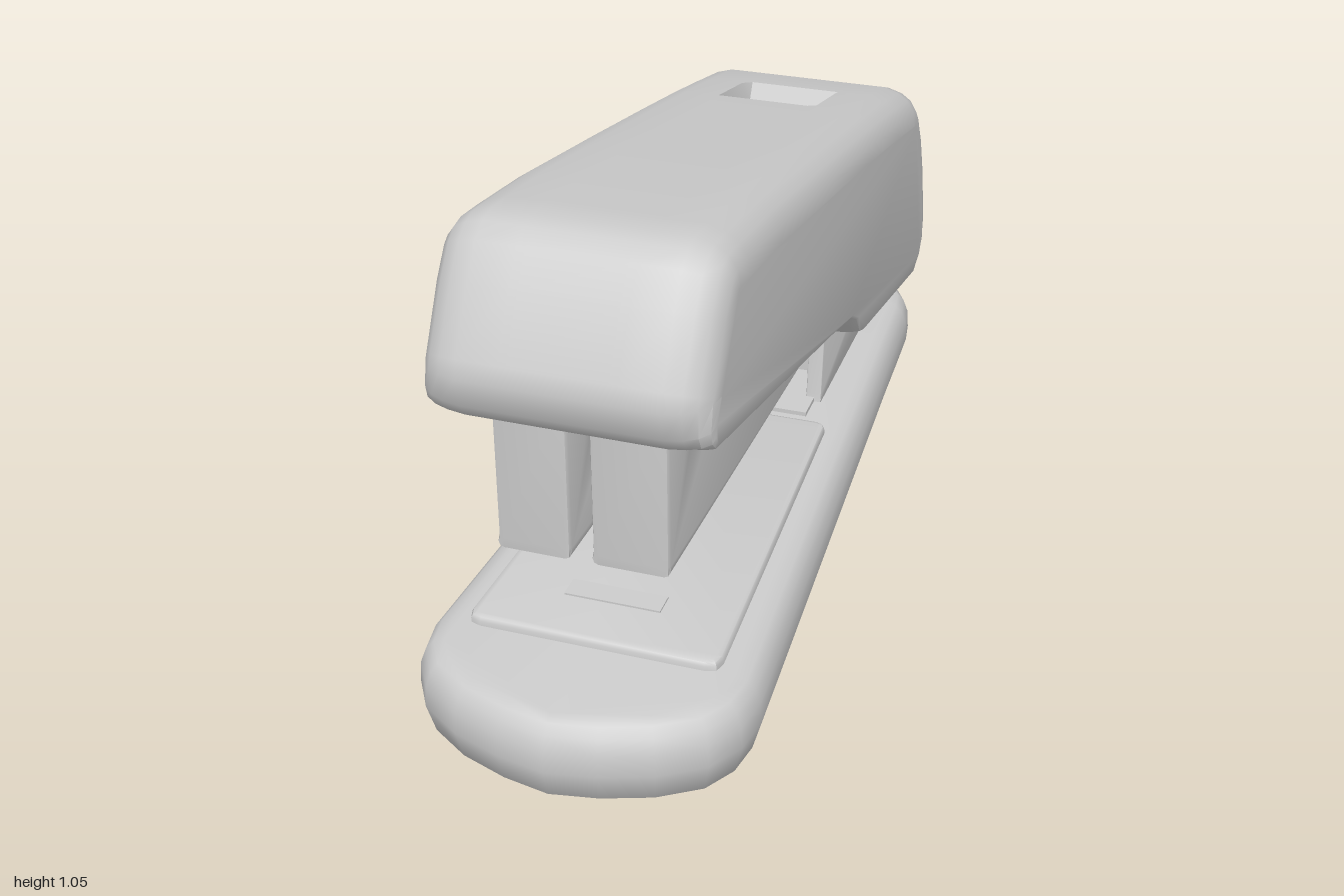
import * as THREE from 'three';
import { toCreasedNormals } from 'three/addons/utils/BufferGeometryUtils.js';

const grey = new THREE.MeshStandardMaterial({ color: 0xcccccc });
grey.name = 'light grey';

// Maps of a profile point (u, v) at layer position w
const fromSide = (u, v, w) => [w, v, u]; // profile in z, y; layers along x
const fromTop = (u, v, w) => [u, w, v];  // profile in x, z; layers along y

// Capped loft of one anticlockwise profile. Point: [u, v, insetWeight, dent]; layer: [w, inset, dented]
function loft(profile, layers, map, crease = 0.7) {
  const n = profile.length, pos = [], index = [];
  const rings = layers.map(([, inset, dented]) => profile.map(([u, v, weight = 1, dent = 0], i) => {
    const a = profile[(i + n - 1) % n], b = profile[(i + 1) % n];
    const tu = b[0] - a[0], tv = b[1] - a[1], d = inset * weight / Math.hypot(tu, tv);
    return new THREE.Vector2(u - tv * d, v + tu * d - (dented ? dent : 0));
  }));
  rings.forEach((ring, k) => ring.forEach((p) => pos.push(...map(p.x, p.y, layers[k][0]))));
  for (let k = 0; k < rings.length - 1; k++) {
    for (let i = 0; i < n; i++) {
      const j = (i + 1) % n, a = k * n + i, b = k * n + j;
      index.push(a, b + n, b, a, a + n, b + n);
    }
  }
  const top = (rings.length - 1) * n;
  for (const [a, b, c] of THREE.ShapeUtils.triangulateShape(rings[0], [])) index.push(a, b, c);
  for (const [a, b, c] of THREE.ShapeUtils.triangulateShape(rings.at(-1), [])) index.push(top + a, top + c, top + b);
  const geo = new THREE.BufferGeometry();
  geo.setAttribute('position', new THREE.Float32BufferAttribute(pos, 3));
  geo.setIndex(index);
  return toCreasedNormals(geo, crease);
}

// Layers of a panel between x0 and x1 with softened edges
const panel = (x0, x1, r) => [[x0, r], [x0 + r * 0.3, r * 0.3], [x0 + r, 0], [x1 - r, 0], [x1 - r * 0.3, r * 0.3], [x1, r]];

// Mirrors a half outline that runs from the back centre to the front centre
const mirrored = (half) => [...half, ...half.slice(1, -1).reverse().map(([x, z]) => [-x, z])];

export function createModel() {
  const group = new THREE.Group();
  const add = (name, geo) => {
    const mesh = new THREE.Mesh(geo, grey);
    mesh.name = name;
    group.add(mesh);
    return mesh;
  };
  const addBox = (name, w, h, d, x, y, z) => add(name, new THREE.BoxGeometry(w, h, d)).position.set(x, y, z);

  // Tapered base with rounded rim
  const baseOutline = mirrored([
    [0, -1], [0.1, -0.995], [0.17, -0.98], [0.225, -0.945], [0.255, -0.89], [0.266, -0.82], [0.275, -0.6],
    [0.335, 0.6], [0.342, 0.74], [0.328, 0.82], [0.285, 0.89], [0.2, 0.945], [0.1, 0.98], [0, 0.998],
  ]);
  add('base', loft(baseOutline, [
    [0, 0.035], [0.015, 0.018], [0.08, 0], [0.125, 0.003], [0.155, 0.014], [0.173, 0.03], [0.18, 0.052],
  ], fromTop));

  // Raised plate on the base, with the small staple former
  const plateOutline = mirrored([
    [0, -0.17], [0.2, -0.17], [0.218, -0.164], [0.225, -0.15], [0.258, 0.715], [0.251, 0.738], [0.23, 0.745], [0, 0.745],
  ]);
  add('anvilPlate', loft(plateOutline, [[0.17, 0], [0.19, 0], [0.197, 0.004], [0.2, 0.012]], fromTop));
  addBox('stapleFormer', 0.2, 0.006, 0.05, 0, 0.201, 0.6);

  // Top cover with a thumb recess: a side profile swept across x
  const coverProfile = [
    [0.852, 0.745, 0.6], [0.866, 0.805], [0.855, 0.84], [0.79, 0.96], [0.745, 1.02], [0.71, 1.043], [0.67, 1.05],
    [0.6, 1.042], [0.4, 1.013], [0, 0.938], [-0.3, 0.88],
    [-0.42, 0.856], [-0.435, 0.853, 1, 0.07], [-0.6, 0.818, 1, 0.06], [-0.63, 0.811],
    [-0.77, 0.78], [-0.82, 0.76], [-0.86, 0.72], [-0.91, 0.64], [-0.95, 0.545], [-0.985, 0.43], [-0.999, 0.365],
    [-0.99, 0.32], [-0.955, 0.28, 0.7], [-0.9, 0.258, 0.4], [-0.83, 0.254, 0.2],
    [-0.31, 0.362, 0.2], [-0.27, 0.378, 0.2], [-0.235, 0.425, 0.2], [-0.18, 0.457, 0.2],
    [0, 0.505, 0.2], [0.8, 0.701, 0.2], [0.83, 0.715, 0.4],
  ];
  const halfCover = [[0.273, 0.085], [0.268, 0.052], [0.25, 0.026], [0.225, 0.01], [0.19, 0], [0.112, 0], [0.095, 0, true]];
  add('topCover', loft(coverProfile, [
    ...halfCover.map(([x, r, d]) => [-x, r, d]), ...halfCover.slice().reverse(),
  ], fromSide));

  // Magazine in two halves with a slit between them
  const magazineProfile = [
    [0.745, 0.378], [0.748, 0.4], [0.748, 0.72], [0.605, 0.7], [0.59, 0.63], [0.575, 0.575], [0.55, 0.552],
    [0.03, 0.512], [-0.6, 0.46], [-0.6, 0.31], [-0.3, 0.325],
  ];
  add('magazineRight', loft(magazineProfile, panel(-0.18, -0.033, 0.012), fromSide));
  add('magazineLeft', loft(magazineProfile, panel(0.01, 0.163, 0.012), fromSide));

  // Hinge bracket: two side plates, a floor and a middle block
  const plateProfile = [[-0.28, 0.17], [-0.285, 0.2], [-0.305, 0.4], [-0.8, 0.33], [-0.8, 0.24], [-0.785, 0.17]];
  for (const [name, x] of [['bracketPlateRight', -0.167], ['bracketPlateLeft', 0.163]]) {
    add(name, loft(plateProfile, panel(x - 0.018, x + 0.018, 0.004), fromSide));
  }
  addBox('bracketFloor', 0.33, 0.03, 0.58, 0, 0.175, -0.5);
  addBox('hingeBlock', 0.28, 0.24, 0.34, 0, 0.3, -0.57);

  return group;
}
